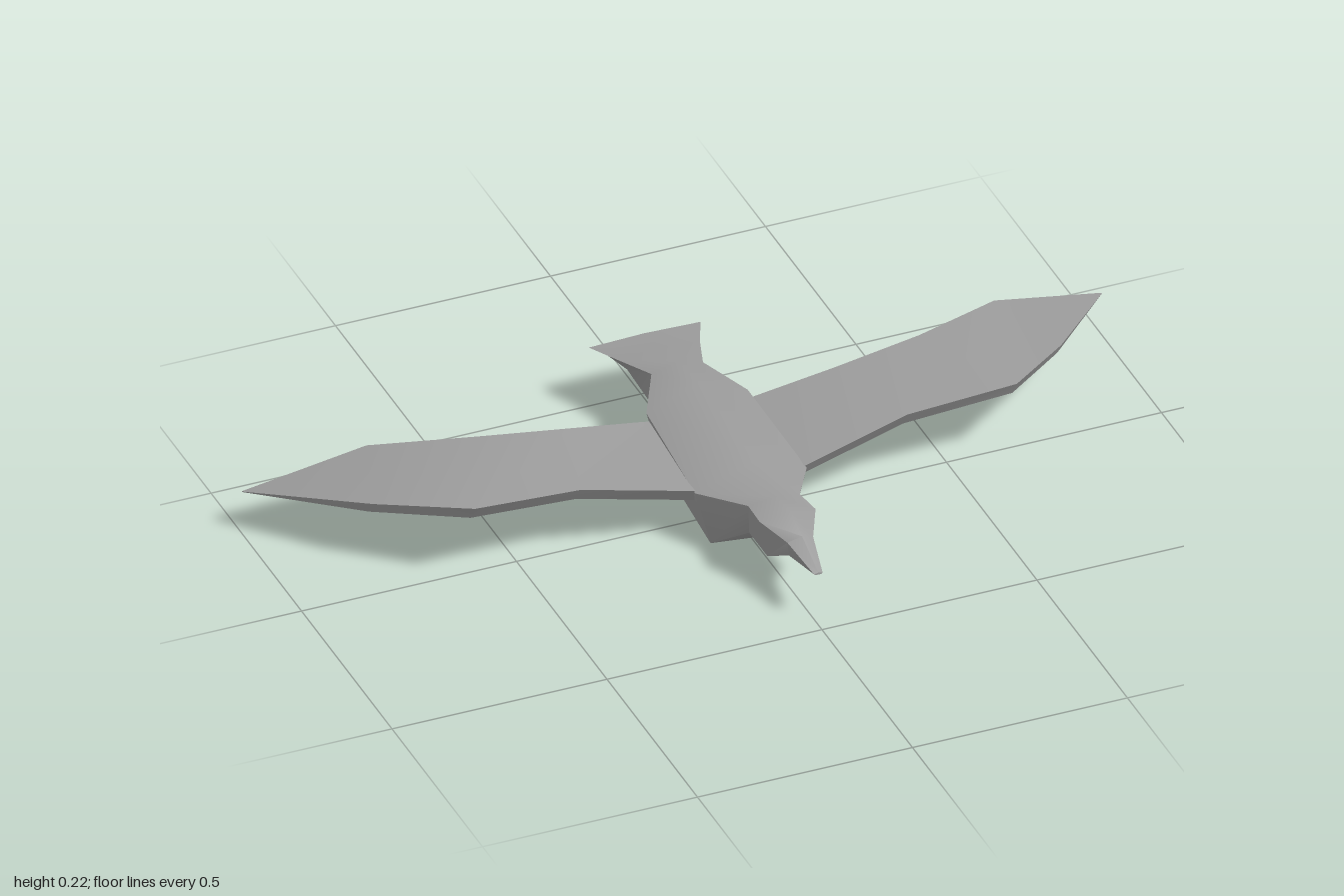
import * as THREE from 'three';
import { toCreasedNormals } from 'three/addons/utils/BufferGeometryUtils.js';

const material = new THREE.MeshStandardMaterial({ color: 0x9c9c9c });

// Skin a list of equal-length rings (clockwise along the loft direction) and cap both ends
function loft(name, rings, creaseAngle) {
  const n = rings[0].length;
  const index = [];
  for (let i = 0; i < rings.length - 1; i++) {
    for (let j = 0; j < n; j++) {
      const a = i * n + j, b = i * n + (j + 1) % n;
      index.push(a, b, a + n, b, b + n, a + n);
    }
  }
  const last = (rings.length - 1) * n;
  for (let j = 1; j < n - 1; j++) {
    index.push(0, j + 1, j, last, last + j, last + j + 1);
  }
  const geometry = new THREE.BufferGeometry();
  geometry.setAttribute('position', new THREE.Float32BufferAttribute(rings.flat(2), 3));
  geometry.setIndex(index);
  const mesh = new THREE.Mesh(toCreasedNormals(geometry, creaseAngle), material);
  mesh.name = name;
  return mesh;
}

// Body from beak to tail: back z, y; side ridge half width, z, y; belly half width, z, y
const bodySections = [
  [0.48, 0.136, 0.010, 0.48, 0.134, 0.007, 0.48, 0.131],
  [0.39, 0.175, 0.030, 0.38, 0.160, 0.024, 0.375, 0.120],
  [0.33, 0.201, 0.065, 0.31, 0.180, 0.045, 0.305, 0.077],
  [0.245, 0.189, 0.060, 0.235, 0.174, 0.045, 0.205, 0.077],
  [0.13, 0.210, 0.130, 0.107, 0.147, 0.095, 0.11, 0.002],
  [-0.18, 0.224, 0.118, -0.19, 0.170, 0.085, -0.185, 0.025],
  [-0.295, 0.209, 0.060, -0.30, 0.189, 0.045, -0.325, 0.078],
  [-0.40, 0.182, 0.095, -0.40, 0.173, 0.070, -0.41, 0.134],
  [-0.48, 0.170, 0.130, -0.48, 0.166, 0.110, -0.48, 0.159],
];

function makeBody() {
  const rings = bodySections.map(([zt, yt, w, zm, ym, wb, zb, yb]) => {
    const corner = yb + (ym - yb) * 0.07;
    return [[0, yt, zt], [w, ym, zm], [wb, corner, zb], [0, yb, zb], [-wb, corner, zb], [-w, ym, zm]];
  });
  return loft('body', rings, 1.05);
}

// Wing from root to tip: leading x, y, z, trailing x, y, z, thickness factor
const wingSections = [
  [0.08, 0.137, 0.105, 0.08, 0.142, -0.187, 1],
  [0.13, 0.150, 0.102, 0.13, 0.155, -0.183, 1],
  [0.38, 0.197, 0.07, 0.31, 0.198, -0.16, 1],
  [0.63, 0.218, 0.08, 0.51, 0.221, -0.173, 1],
  [0.80, 0.177, -0.08, 0.73, 0.187, -0.283, 0.85],
  [1.00, 0.110, -0.328, 0.999, 0.11, -0.33, 0.05],
];

function makeWing(name, side) {
  const rings = wingSections.map(([lx, ly, lz, tx, ty, tz, t]) => {
    const ring = [
      [side * tx, ty, tz],
      [side * lx, ly, lz],
      [side * lx, ly - 0.038 * t, lz - 0.025 * t],
      [side * tx, ty - 0.036 * t, tz - 0.016 * t],
    ];
    return side > 0 ? ring : ring.reverse();
  });
  return loft(name, rings, 0.6);
}

export function createModel() {
  const bird = new THREE.Group();
  bird.name = 'bird';
  bird.add(makeBody(), makeWing('leftWing', 1), makeWing('rightWing', -1));
  return bird;
}
